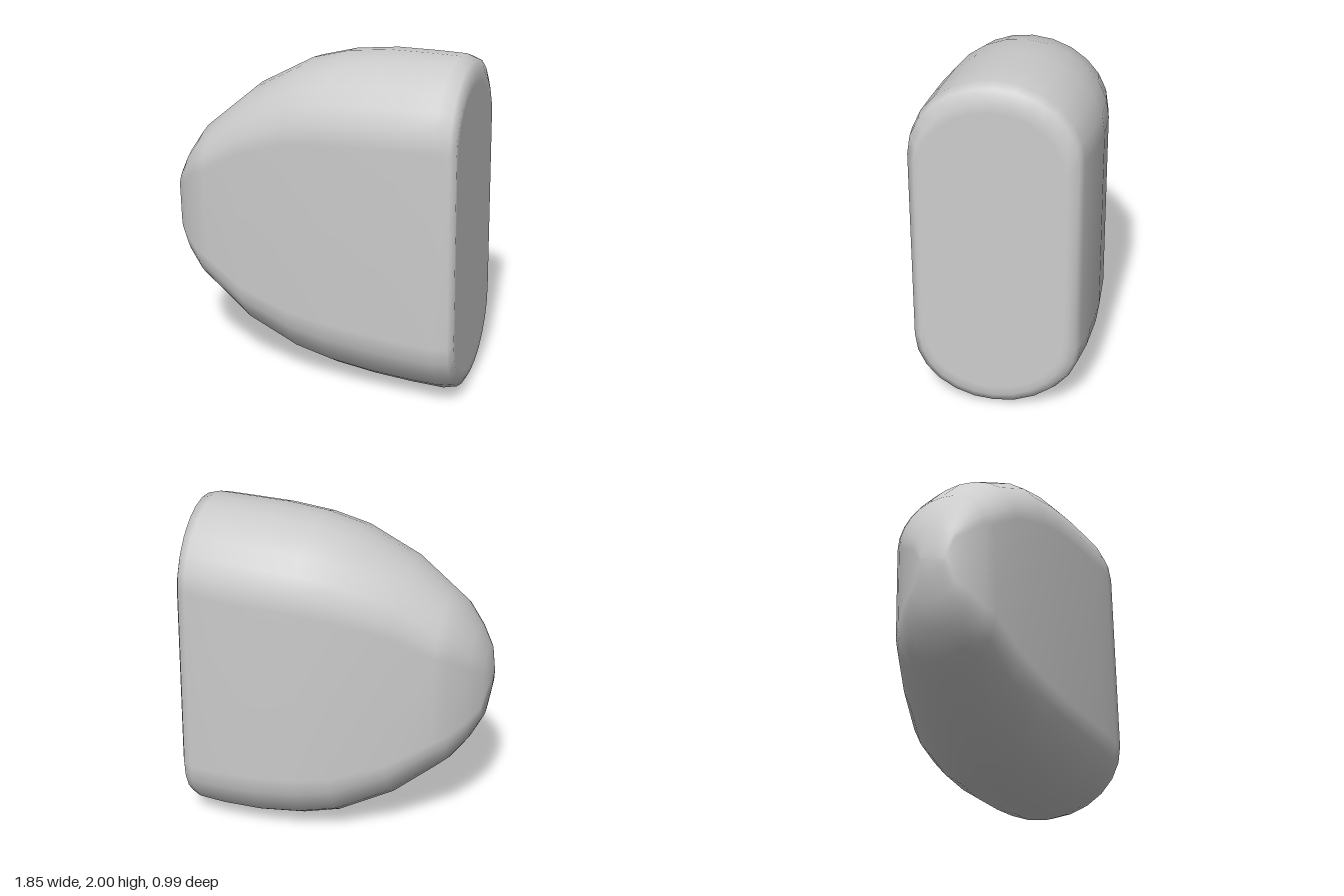
import * as THREE from 'three';

// Cross-sections from nose to flat end: x, bottom, top, back z, front z, cap tilt share
const SECTIONS = [
  [-0.91, 0.9, 1.06, 0.11, 0.27, 0],
  [-0.885, 0.74, 1.2, 0.05, 0.31, 0],
  [-0.82, 0.61, 1.33, -0.05, 0.365, 0],
  [-0.725, 0.48, 1.47, -0.145, 0.41, 0],
  [-0.65, 0.42, 1.535, -0.205, 0.43, 0],
  [-0.42, 0.23, 1.73, -0.305, 0.46, 0],
  [-0.11, 0.08, 1.9, -0.43, 0.48, 0],
  [0.11, 0.03, 1.96, -0.475, 0.487, 0],
  [0.36, 0.005, 1.99, -0.5, 0.49, 0],
  [0.6, 0, 1.997, -0.495, 0.487, 0.1],
  [0.78, 0.005, 2, -0.475, 0.478, 0.4],
  [0.85, 0.03, 1.98, -0.455, 0.464, 0.9],
  [0.875, 0.08, 1.91, -0.41, 0.425, 1],
];
const ARC = 12; // segments in each rounded end
const RING = 2 * (ARC + 1);

// Upright stadium loop, leaning slightly with height and with depth
function sectionLoop([x, y0, y1, z0, z1, tilt], scale = 1) {
  const cy = (y0 + y1) / 2, cz = (z0 + z1) / 2;
  const hh = (y1 - y0) / 2, hw = (z1 - z0) / 2;
  const rise = Math.min(hh, hw * 0.88);
  const points = [];
  for (const end of [1, -1]) {
    for (let i = 0; i <= ARC; i++) {
      const a = -Math.PI / 2 + (Math.PI * i) / ARC;
      const y = cy + scale * end * (hh - rise + rise * Math.cos(a));
      const z = cz + scale * end * hw * Math.sin(a);
      points.push([x + 0.095 * tilt * z - 0.02 * (y - 1), y, z]);
    }
  }
  return points;
}

export function createModel() {
  const group = new THREE.Group();
  group.name = 'roundedBody';

  // Last loop is an inset on the flat end, so the bevel shades softly and the end stays flat
  const last = SECTIONS[SECTIONS.length - 1];
  const loops = SECTIONS.map((s) => sectionLoop(s));
  loops.push(sectionLoop(last, 0.94));

  const tip = loops.length * RING, centre = tip + 1;
  const positions = loops.flat(2);
  positions.push(-0.92, 0.98, 0.19);
  const [x, y0, y1, z0, z1] = last;
  const cy = (y0 + y1) / 2, cz = (z0 + z1) / 2;
  positions.push(x + 0.095 * cz - 0.02 * (cy - 1), cy, cz);

  const index = [];
  const end = (loops.length - 1) * RING;
  for (let j = 0; j < RING; j++) {
    const k = (j + 1) % RING;
    index.push(tip, k, j); // nose
    for (let r = 0; r < end; r += RING) {
      index.push(r + j, r + k, r + RING + j);
      index.push(r + k, r + RING + k, r + RING + j);
    }
    index.push(centre, end + j, end + k); // flat end
  }

  const geometry = new THREE.BufferGeometry();
  geometry.setAttribute('position', new THREE.Float32BufferAttribute(positions, 3));
  geometry.setIndex(index);
  geometry.computeVertexNormals();

  const shell = new THREE.Mesh(geometry, new THREE.MeshStandardMaterial({ color: 0xcccccc }));
  shell.name = 'shell';
  group.add(shell);
  return group;
}
